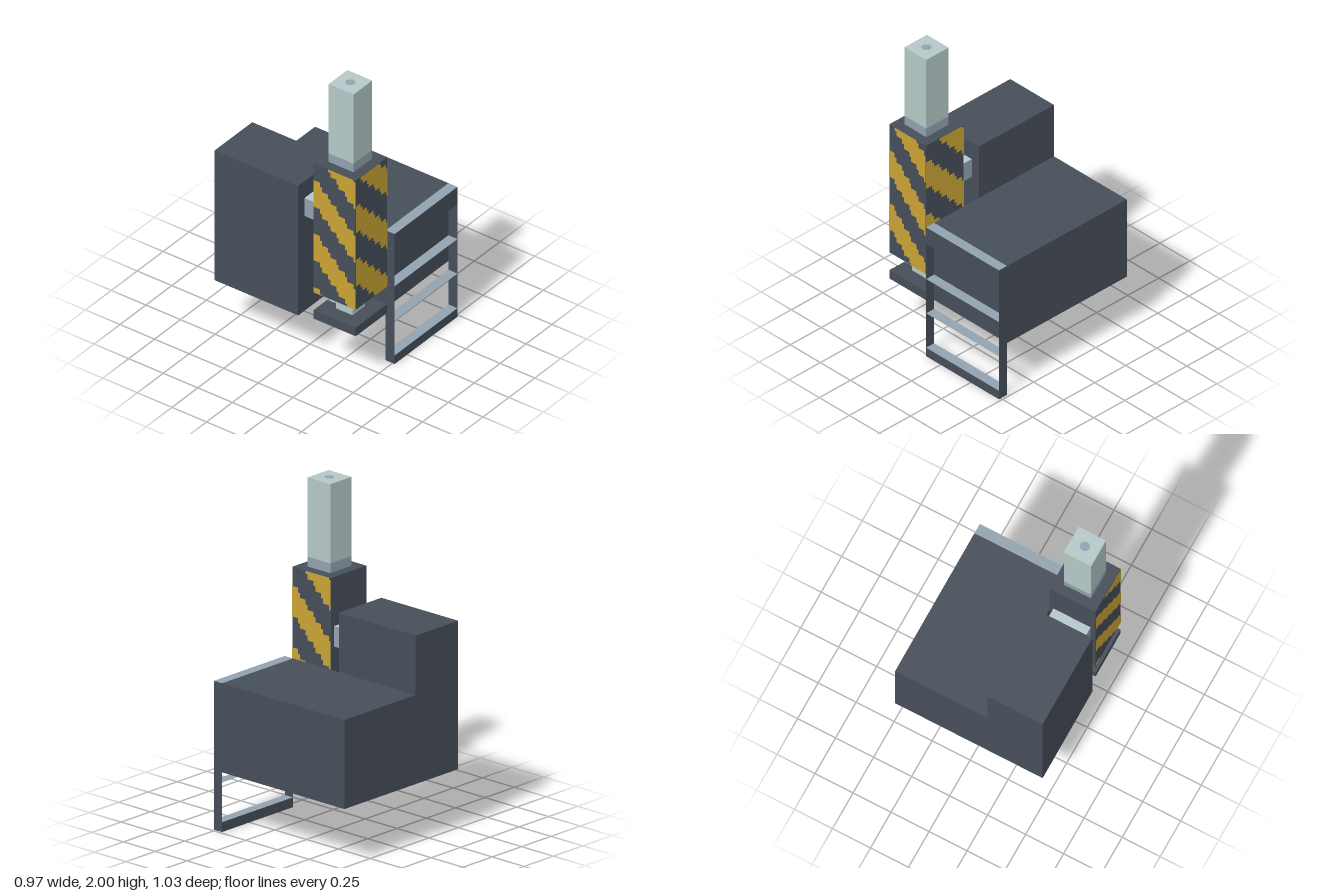
import * as THREE from 'three';
import { mergeGeometries } from 'three/addons/utils/BufferGeometryUtils.js';

function material(name, color, side = THREE.FrontSide) {
  const m = new THREE.MeshStandardMaterial({ color, side });
  m.name = name;
  return m;
}

export function createModel() {
  const slate = material('slate', 0x464e59, THREE.DoubleSide);
  const steel = material('blueSteel', 0x91a2af, THREE.DoubleSide);
  const pale = material('paleMetal', 0xb5c8c7);
  const yellow = material('warningYellow', 0xc9a335);
  const model = new THREE.Group();

  // Box given by its limits on each axis
  function box(name, [x0, x1], [y0, y1], [z0, z1], mat) {
    const mesh = new THREE.Mesh(new THREE.BoxGeometry(x1 - x0, y1 - y0, z1 - z0), mat);
    mesh.position.set((x0 + x1) / 2, (y0 + y1) / 2, (z0 + z1) / 2);
    mesh.name = name;
    model.add(mesh);
    return mesh;
  }
  const topped = (sides, top) => [sides, sides, top, sides, sides, sides];

  // Machine housing: wide low block and tall rear block
  const wide = [-0.121, 0.485];
  const step = [0.45, 0.515];
  box('mainHousing', wide, [0.365, 0.91], [-0.515, 0.45], slate);
  box('tallHousing', [-0.485, -0.121], [0.365, 1.273], [-0.515, 0.09], slate);

  // Front ladder: lid, bottom step, thin side rails and treads
  box('ladderLid', wide, [0.79, 0.91], step, topped(slate, steel));
  box('bottomStep', wide, [0, 0.06], step, topped(slate, steel));
  for (const x of wide) {
    const rail = new THREE.Mesh(new THREE.PlaneGeometry(0.065, 0.73), slate);
    rail.name = 'ladderRail';
    rail.rotation.y = Math.sign(x) * Math.PI / 2;
    rail.position.set(x, 0.425, 0.4825);
    model.add(rail);
  }
  for (const y of [0.303, 0.545]) {
    const tread = new THREE.Mesh(new THREE.PlaneGeometry(0.606, 0.065), steel);
    tread.name = 'ladderTread';
    tread.rotation.x = -Math.PI / 2;
    tread.position.set(0.182, y, 0.4825);
    model.add(tread);
  }

  // Press column and its foot
  const cx = -0.305, cz = 0.333;
  const square = (name, half, y, mat) =>
    box(name, [cx - half, cx + half], y, [cz - half, cz + half], mat);
  square('basePlate', 0.152, [0.365, 0.425], slate);
  square('pressTip', 0.06, [0.425, 0.485], pale);
  square('pressHead', 0.09, [0.485, 0.55], pale);
  square('columnCasing', 0.152, [0.55, 1.455], slate);
  square('rodCollar', 0.09, [1.455, 1.515], steel);
  square('pistonRod', 0.09, [1.515, 2], pale);
  const dot = new THREE.Mesh(new THREE.CircleGeometry(0.03, 12), steel);
  dot.name = 'rodCap';
  dot.rotation.x = -Math.PI / 2;
  dot.position.set(cx, 2.001, cz);
  model.add(dot);

  // Link between the column and the tall housing
  box('connector', [-0.425, -0.18], [1.03, 1.155], [0.09, 0.181],
    [steel, steel, pale, pale, steel, steel]);

  // Stepped warning stripes running down to the right
  function stripes(firstTop) {
    const parts = [], columns = 20, w = 0.304 / columns;
    for (let i = 0; i < columns; i++) {
      const drop = 0.06 * (Math.floor(i / 4) + (i % 4 === 3 ? 0.5 : 0));
      for (let k = -1; k < 4; k++) {
        const top = firstTop - drop - k * 0.375;
        const y1 = Math.min(top, 1.455), y0 = Math.max(top - 0.187, 0.55);
        if (y1 - y0 < 0.005) continue;
        parts.push(new THREE.PlaneGeometry(w, y1 - y0)
          .translate(-0.152 + (i + 0.5) * w, (y0 + y1) / 2, 0.154));
      }
    }
    return mergeGeometries(parts);
  }
  for (const [name, turn, top] of [
    ['frontStripes', 0, 1.275], ['leftStripes', Math.PI / 2, 1.338], ['rightStripes', -Math.PI / 2, 1.338],
  ]) {
    const mesh = new THREE.Mesh(stripes(top), yellow);
    mesh.name = name;
    mesh.rotation.y = turn;
    mesh.position.set(cx, 0, cz);
    model.add(mesh);
  }
  return model;
}
